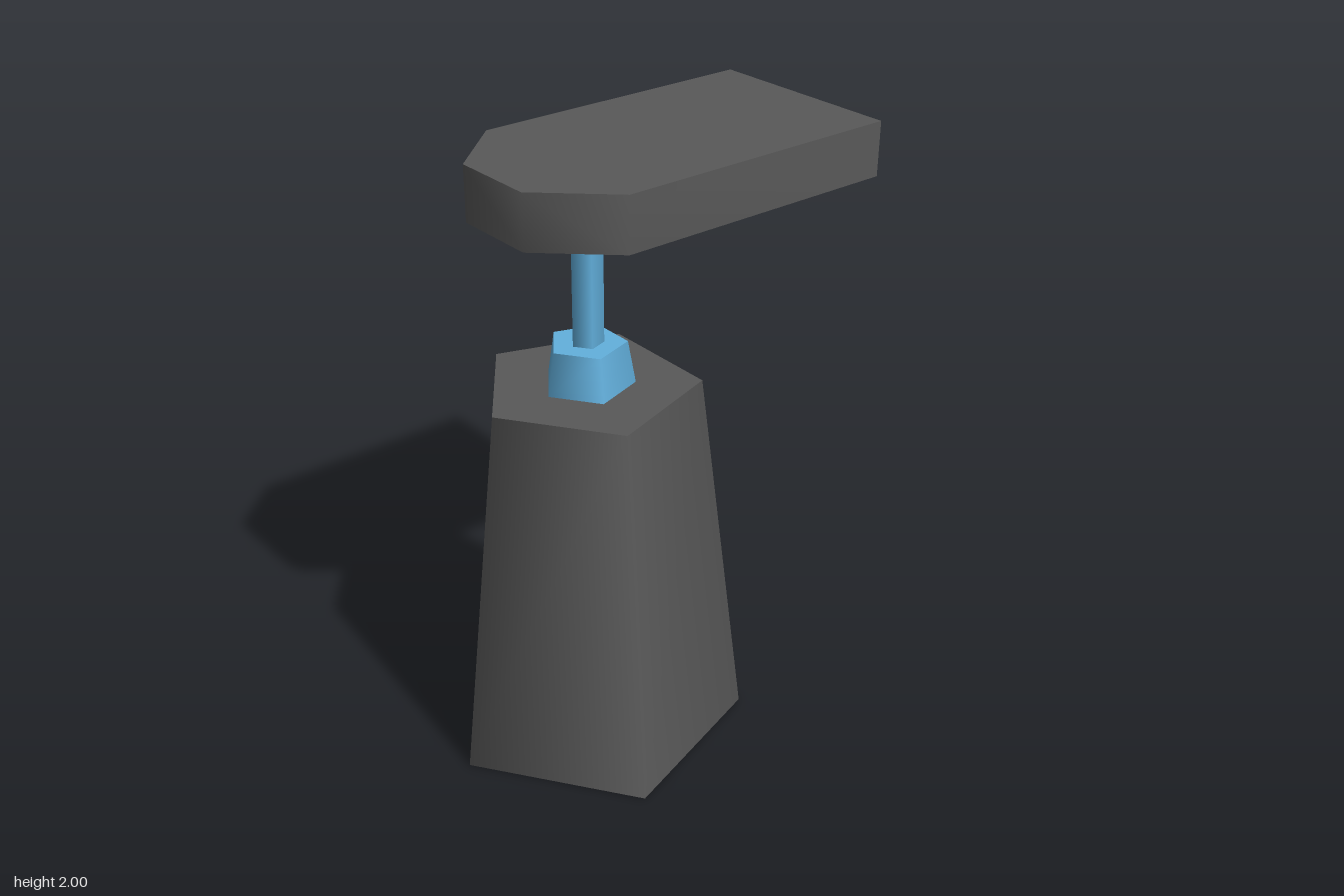
import * as THREE from 'three';
import { toCreasedNormals } from 'three/addons/utils/BufferGeometryUtils.js';

export function createModel() {
  const model = new THREE.Group();
  model.name = 'pedestal';

  const darkGrey = new THREE.MeshStandardMaterial({ color: 0x595959 });
  darkGrey.name = 'darkGrey';
  const blue = new THREE.MeshStandardMaterial({ color: 0x62b0dd });
  blue.name = 'blue';

  const axisZ = 0.18;

  // Five-sided tapered column between two heights, with one corner facing forward
  function column(name, bottomRadius, topRadius, y0, y1, material) {
    const geometry = new THREE.CylinderGeometry(topRadius, bottomRadius, y1 - y0, 5);
    const mesh = new THREE.Mesh(geometry, material);
    mesh.name = name;
    mesh.position.set(0, (y0 + y1) / 2, axisZ);
    mesh.rotation.y = -0.008;
    model.add(mesh);
  }

  column('base', 0.51, 0.355, 0, 1.26, darkGrey);
  column('collar', 0.149, 0.125, 1.26, 1.4, blue);
  column('stem', 0.053, 0.053, 1.4, 1.83, blue);

  // Top slab: square at the back, with cut corners at the front
  const outline = [[-0.338, -0.687], [-0.338, 0.285], [-0.14, 0.5], [0.14, 0.5], [0.338, 0.285], [0.338, -0.687]];
  const shape = new THREE.Shape(outline.map(([x, z]) => new THREE.Vector2(x, -z)));
  const slabGeometry = new THREE.ExtrudeGeometry(shape, { depth: 0.175, bevelEnabled: false });
  slabGeometry.rotateX(-Math.PI / 2);
  const slab = new THREE.Mesh(toCreasedNormals(slabGeometry, 1.0), darkGrey);
  slab.name = 'topSlab';
  slab.position.y = 1.825;
  model.add(slab);

  return model;
}
